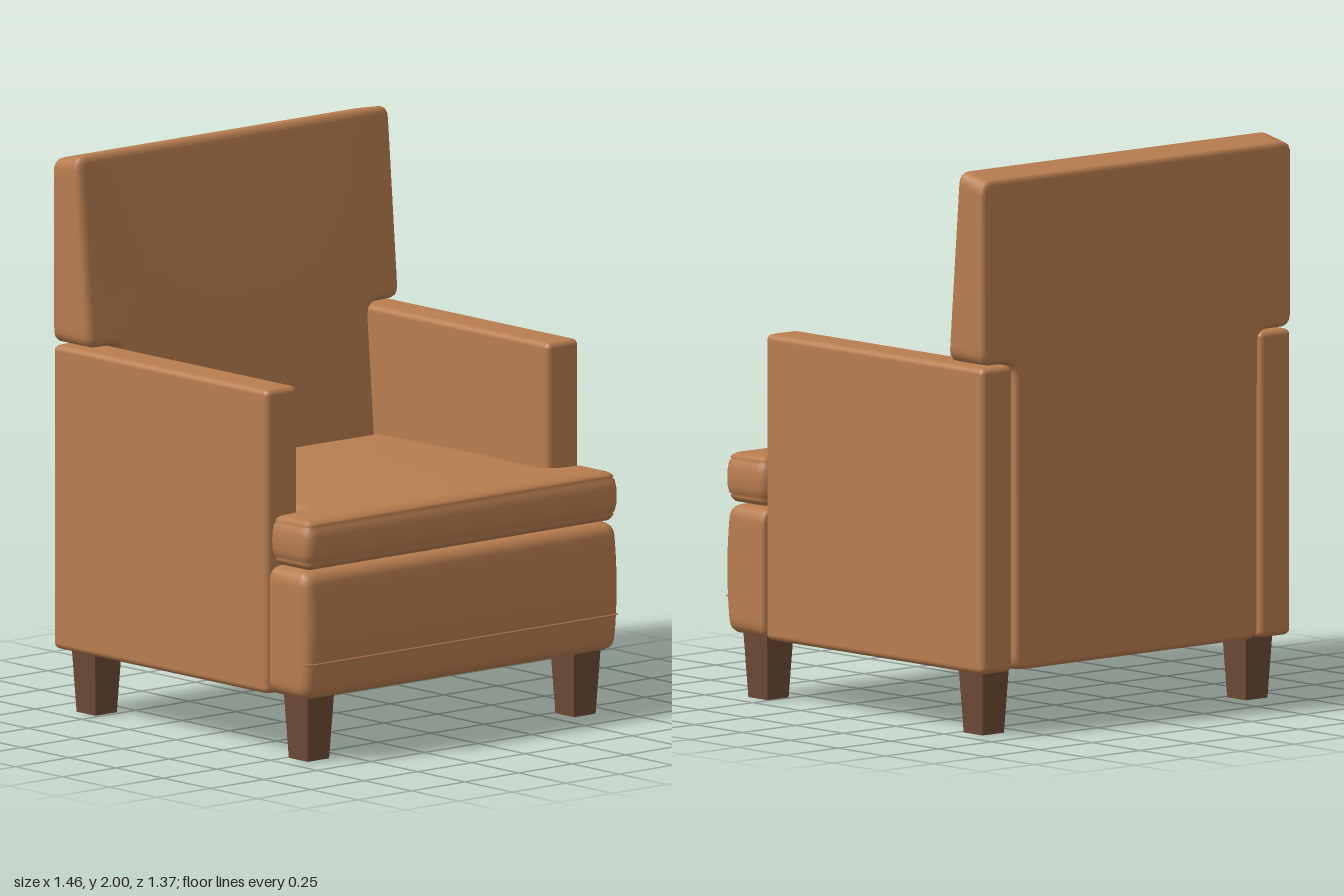
import * as THREE from 'three';
import { RoundedBoxGeometry } from 'three/addons/geometries/RoundedBoxGeometry.js';

const fabric = new THREE.MeshStandardMaterial({ color: 0xb87d4f });
const wood = new THREE.MeshStandardMaterial({ color: 0x6e4a36 });

// Counter-clockwise outline with rounded corners, as evenly spaced points.
function roundedOutline(corners, radius, count) {
  const pts = corners.map(([x, y]) => new THREE.Vector2(x, y));
  const shape = new THREE.Shape();
  pts.forEach((p, i) => {
    const toward = (q) => p.clone().add(q.clone().sub(p).setLength(radius));
    const a = toward(pts[(i + pts.length - 1) % pts.length]);
    const b = toward(pts[(i + 1) % pts.length]);
    if (i === 0) shape.moveTo(a.x, a.y);
    else shape.lineTo(a.x, a.y);
    shape.quadraticCurveTo(p.x, p.y, b.x, b.y);
  });
  shape.closePath();
  return shape.getSpacedPoints(count).slice(0, count);
}

// Upholstered pad: the outline is stacked through layers of [inset, height],
// capped with rings shrinking to the centre, then bent by the warp rule.
function pad(outline, centre, layers, warp, rings = 14) {
  const n = outline.length;
  const inward = outline.map((p, j) => {
    const t = outline[(j + 1) % n].clone().sub(outline[(j + n - 1) % n]).normalize();
    return new THREE.Vector2(-t.y, t.x);
  });
  const last = layers[layers.length - 1];
  const stack = [];
  for (let k = 0; k < rings; k++) stack.push([...layers[0], k / rings]);
  layers.forEach((l) => stack.push([...l, 1]));
  for (let k = rings - 1; k >= 0; k--) stack.push([...last, k / rings]);

  const position = [], index = [];
  stack.forEach(([inset, w, s], i) => {
    outline.forEach((p, j) => {
      const u = centre[0] + (p.x + inward[j].x * inset - centre[0]) * s;
      const v = centre[1] + (p.y + inward[j].y * inset - centre[1]) * s;
      position.push(...warp(u, v, w));
      if (i === 0) return;
      const k = (j + 1) % n;
      const a = (i - 1) * n + j, b = (i - 1) * n + k, c = i * n + j, d = i * n + k;
      index.push(a, b, d, a, d, c);
    });
  });
  const g = new THREE.BufferGeometry();
  g.setAttribute('position', new THREE.Float32BufferAttribute(position, 3));
  g.setIndex(index);
  g.computeVertexNormals();
  return g;
}

// Layers of a slab from w0 to w1 with rounded rims.
function rimLayers(w0, w1, r0, r1, steps = 5) {
  const layers = [];
  for (let i = 0; i <= steps; i++) {
    const a = (i / steps) * Math.PI / 2;
    layers.push([r0 * (1 - Math.sin(a)), w0 + r0 * (1 - Math.cos(a))]);
  }
  for (let i = 0; i <= steps; i++) {
    const a = (i / steps) * Math.PI / 2;
    layers.push([r1 * (1 - Math.cos(a)), w1 - r1 * (1 - Math.sin(a))]);
  }
  return layers;
}

const rect = (x, y0, y1) => [[-x, y0], [x, y0], [x, y1], [-x, y1]];
const dome = (t) => Math.max(0, 1 - t * t);

export function createModel() {
  const model = new THREE.Group();
  const add = (name, geometry, material = fabric) => {
    const mesh = new THREE.Mesh(geometry, material);
    mesh.name = name;
    model.add(mesh);
    return mesh;
  };

  // Arms: tall slabs down to the leg line
  for (const [side, s] of [['left', 1], ['right', -1]]) {
    add(side + 'Arm', new RoundedBoxGeometry(0.147, 1.085, 1.14, 4, 0.022))
      .position.set(s * 0.6565, 0.7675, -0.11);
  }

  // Backrest: T-shaped, front leaning back and gently crowned
  const backOutline = roundedOutline([
    [-0.575, 0.225], [0.575, 0.225], [0.575, 1.318], [0.73, 1.318],
    [0.73, 2], [-0.73, 2], [-0.73, 1.318], [-0.575, 1.318],
  ], 0.045, 320);
  add('backrest', pad(backOutline, [0, 1.65], rimLayers(0, 1, 0.02, 0.03).map(([inset, w]) =>
    // the rim radii are thin, so widen them along the unit thickness
    [inset, w < 0.5 ? w * 5 : 1 - (1 - w) * 5]), (x, y, w) => {
    const front = -0.49 - 0.085 * (y - 1.318)
      + 0.035 * dome(x / 0.74) * dome((y - 1.1) / 0.9);
    const z = THREE.MathUtils.lerp(-0.682, Math.min(front, -0.436), w);
    const topTilt = 0.028 * (1 - w) * THREE.MathUtils.smoothstep(y, 1.6, 2);
    return [x, y - topTilt, z];
  }));

  // Seat cushion: T-shaped, crowned on top, with stitched grooves round the rim
  const seatOutline = roundedOutline([
    [-0.73, -0.68], [0.73, -0.68], [0.73, -0.463], [0.578, -0.463],
    [0.578, 0.432], [-0.578, 0.432], [-0.578, -0.463], [-0.73, -0.463],
  ], 0.045, 320);
  const seatLayers = [
    [0.05, 0.69], [0.03, 0.694], [0.018, 0.704], [0.011, 0.715], [0.016, 0.72], [0.007, 0.726],
    [0.001, 0.75], [0, 0.78], [0.001, 0.81], [0.007, 0.838], [0.016, 0.845], [0.011, 0.85],
    [0.018, 0.859], [0.032, 0.866], [0.05, 0.869],
  ];
  add('seatCushion', pad(seatOutline, [0, -0.57], seatLayers, (x, v, w) => {
    const crown = 0.023 * dome(x / 0.7) * dome((v + 0.12) / 0.56);
    return [x, w + crown * THREE.MathUtils.smoothstep(w, 0.845, 0.869), -v];
  }));

  // Front panel: bulging pad below the cushion
  const panelOutline = roundedOutline(rect(0.73, 0.228, 0.685), 0.05, 200);
  add('frontPanel', pad(panelOutline, [0, 0.456], rimLayers(0.466, 0.662, 0.015, 0.04), (x, y, z) =>
    [x, y, z + 0.019 * dome((y - 0.456) / 0.23) * THREE.MathUtils.smoothstep(z, 0.5, 0.66)]));

  // Seam line round the front panel
  const seamOutline = roundedOutline(rect(0.731, -0.684, -0.468), 0.04, 160);
  add('frontSeam', pad(seamOutline, [0, -0.576], [[0.004, 0.356], [0, 0.359], [0.004, 0.362]],
    (x, v, y) => [x, y, -v], 2));

  // Tapered square legs
  for (const [zName, z] of [['front', 0.56], ['back', -0.567]]) {
    for (const [xName, s] of [['Left', 1], ['Right', -1]]) {
      const leg = new THREE.CylinderGeometry(0.0625 * Math.SQRT2, 0.05 * Math.SQRT2, 0.235, 4)
        .rotateY(Math.PI / 4).toNonIndexed();
      leg.computeVertexNormals();
      add(zName + xName + 'Leg', leg, wood).position.set(s * 0.622, 0.1175, z);
    }
  }
  return model;
}
